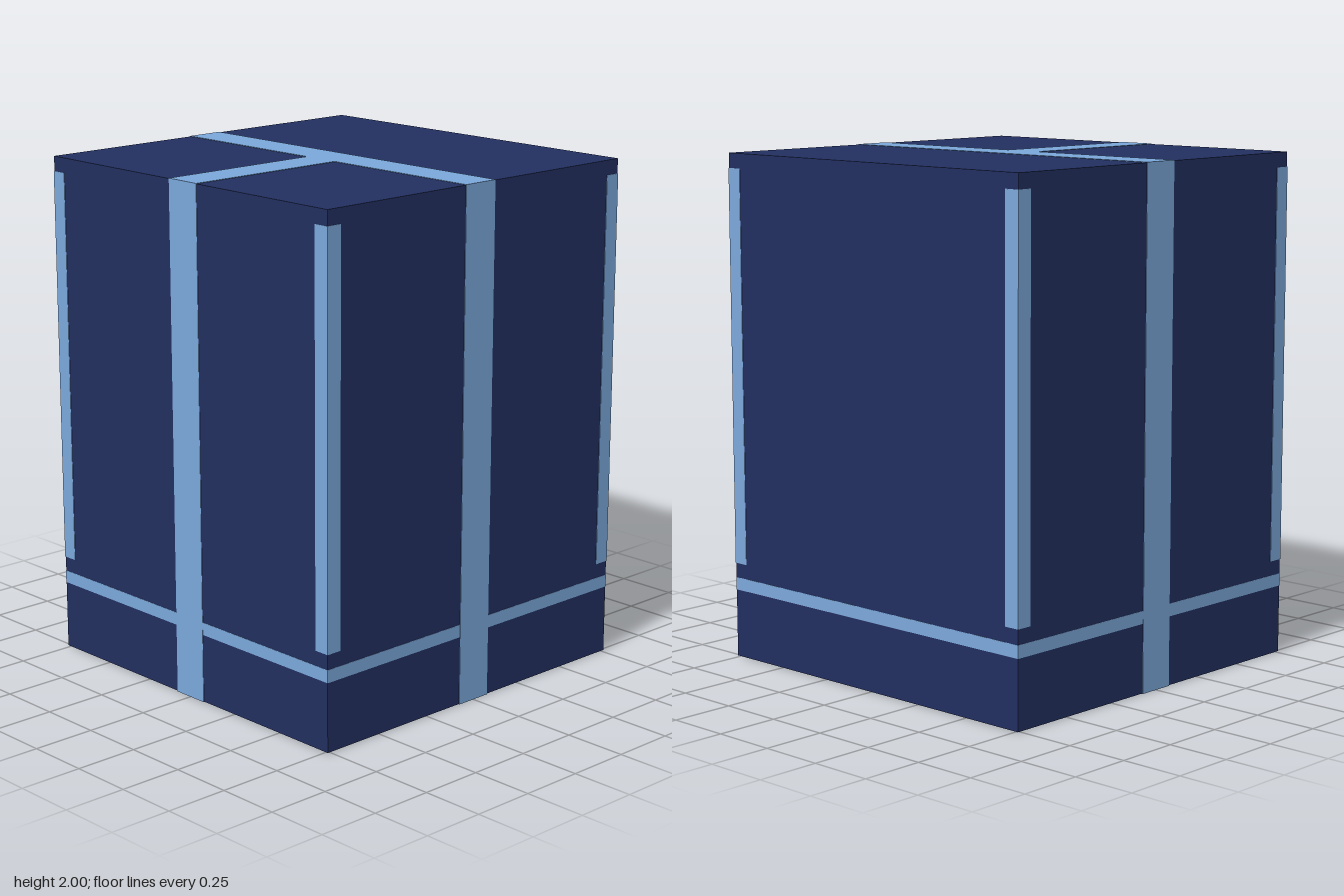
import * as THREE from 'three';

const W = 1.53, H = 2, STRIP = 0.153, PROUD = 0.002;

export function createModel() {
  const group = new THREE.Group();
  const navy = new THREE.MeshStandardMaterial({ color: 0x222f60 });
  const blue = new THREE.MeshStandardMaterial({ color: 0x7ba8db });

  const box = (name, material, size, pos) => {
    const mesh = new THREE.Mesh(new THREE.BoxGeometry(...size), material);
    mesh.name = name;
    mesh.position.set(...pos);
    group.add(mesh);
  };

  // solid block
  box('body', navy, [W - 2 * PROUD, H - 2 * PROUD, W - 2 * PROUD], [0, H / 2, 0]);

  // strip wrapping over the top, both sides and the base
  box('sideStrip', blue, [W, H, STRIP], [0, H / 2, 0]);

  // strip joining it on the top and base and running down the front only
  const depth = W / 2 - STRIP / 2;
  box('frontStrip', blue, [STRIP, H, depth], [0, H / 2, STRIP / 2 + depth / 2]);

  // narrow band around the lower part, a hair below the strips
  box('lowerBand', blue, [W - PROUD, 0.05, W - PROUD], [0, 0.297, 0]);

  // trims on the four upright edges
  const trim = 0.064, trimHeight = 1.56, offset = W / 2 - trim / 2;
  for (const x of [-1, 1]) {
    for (const z of [-1, 1]) {
      box('cornerTrim', blue, [trim, trimHeight, trim], [x * offset, 0.38 + trimHeight / 2, z * offset]);
    }
  }

  return group;
}
